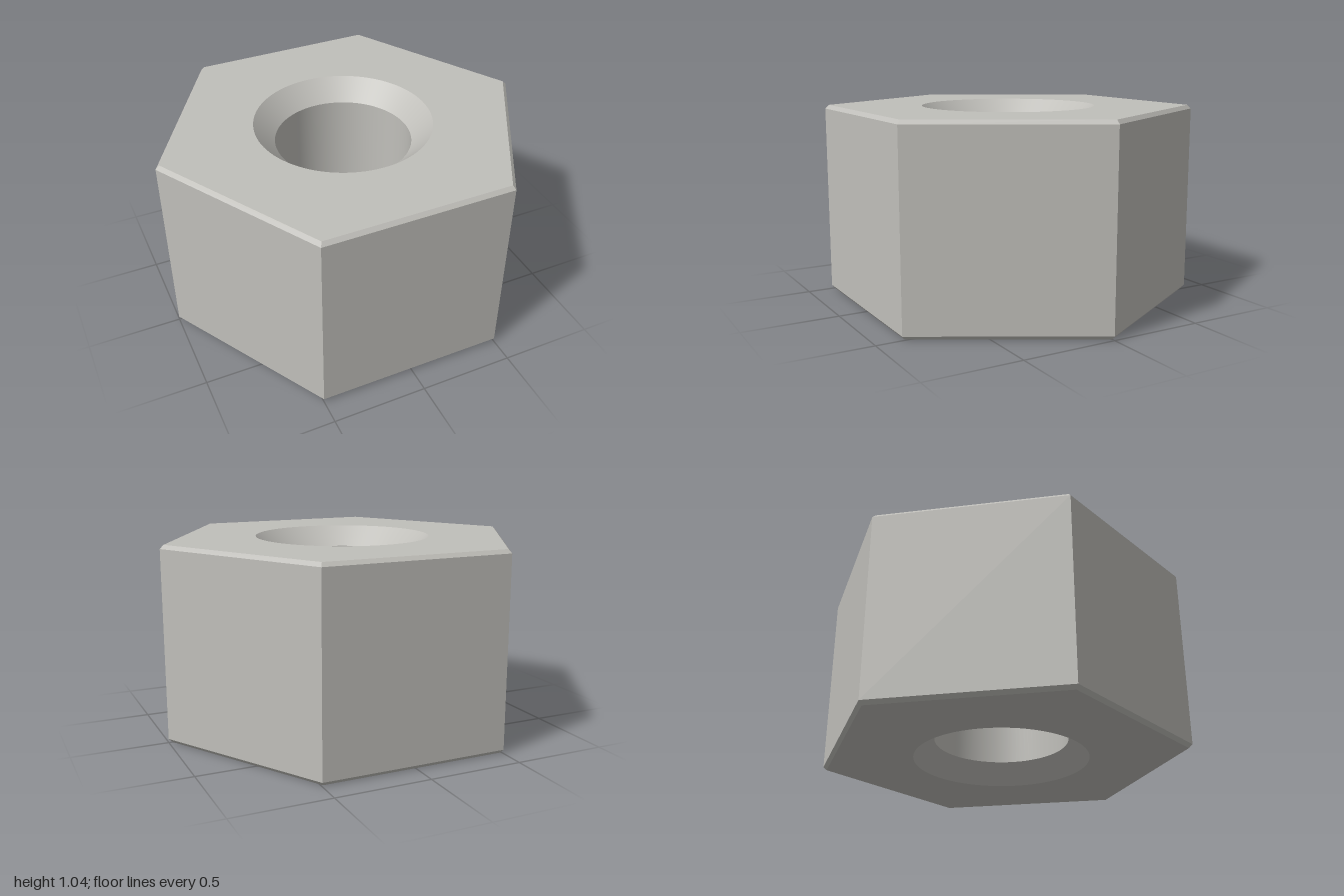
import * as THREE from 'three';

const HEIGHT = 1.04, RADIUS = 1, BEVEL = 0.02;
const BORE = 0.36, SINK = 0.468, SINK_DEPTH = SINK - BORE;
const SEGMENTS = 96;

export function createModel() {
  const nut = new THREE.Group();
  nut.name = 'hexNut';
  const steel = new THREE.MeshStandardMaterial({ color: 0xc0bfba });
  steel.name = 'lightGreySteel';

  const add = (name, geometry) => {
    const mesh = new THREE.Mesh(geometry, steel);
    mesh.name = name;
    nut.add(mesh);
  };

  // Open six-sided band with flat faces, corners on the x axis
  const hexBand = (name, rTop, rBottom, y0, y1) => {
    const band = new THREE.CylinderGeometry(rTop, rBottom, y1 - y0, 6, 1, true, Math.PI / 6).toNonIndexed();
    band.computeVertexNormals();
    band.translate(0, (y0 + y1) / 2, 0);
    add(name, band);
  };
  hexBand('sideFaces', RADIUS, RADIUS, BEVEL, HEIGHT - BEVEL);
  hexBand('topBevel', RADIUS - BEVEL, RADIUS, HEIGHT - BEVEL, HEIGHT);
  hexBand('bottomBevel', RADIUS, RADIUS - BEVEL, 0, BEVEL);

  // Hexagonal end faces with the round opening
  const face = new THREE.Shape();
  for (let i = 0; i < 6; i++) {
    const a = (i * Math.PI) / 3, r = RADIUS - BEVEL;
    face[i ? 'lineTo' : 'moveTo'](r * Math.cos(a), r * Math.sin(a));
  }
  face.closePath();
  face.holes.push(new THREE.Path().absarc(0, 0, SINK, 0, Math.PI * 2, true));
  const endFace = () => new THREE.ShapeGeometry(face, SEGMENTS / 2);
  add('topFace', endFace().rotateX(-Math.PI / 2).translate(0, HEIGHT, 0));
  add('bottomFace', endFace().rotateX(Math.PI / 2));

  // Inner surfaces, run downward so they face the axis
  const inner = (name, r0, y0, r1, y1) => add(name, new THREE.LatheGeometry(
    [new THREE.Vector2(r0, y0), new THREE.Vector2(r1, y1)], SEGMENTS));
  inner('topCountersink', SINK, HEIGHT, BORE, HEIGHT - SINK_DEPTH);
  inner('bore', BORE, HEIGHT - SINK_DEPTH, BORE, SINK_DEPTH);
  inner('bottomCountersink', BORE, SINK_DEPTH, SINK, 0);

  return nut;
}
